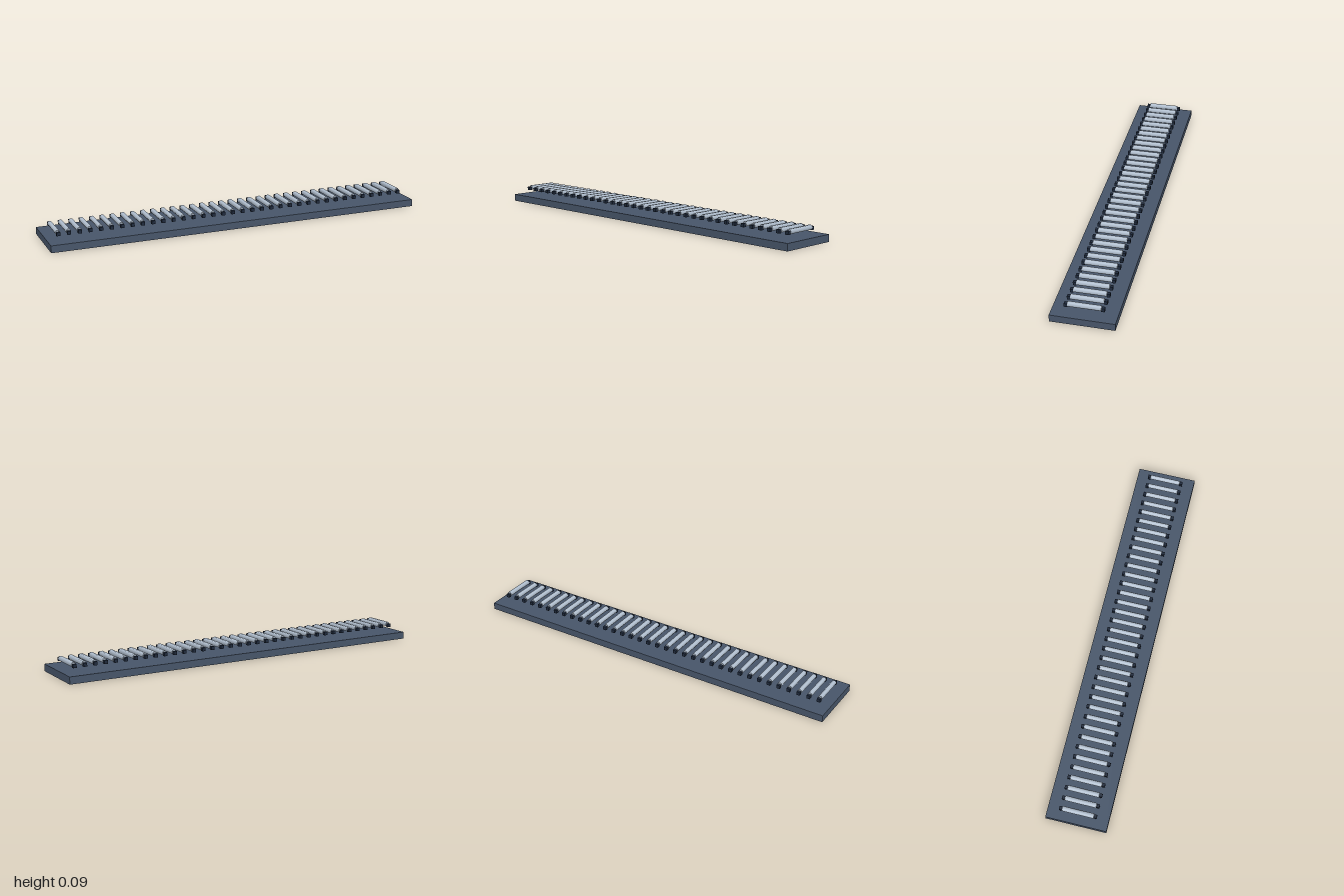
import * as THREE from 'three';

const COUNT = 36;      // rollers along the bed
const SPAN = 1.892;    // distance from first to last roller axis
const RADIUS = 0.013;
const AXIS_Y = 0.0743;

// Six-sided roller lying along z, with shallow pointed ends
function rollerGeometry() {
  const geo = new THREE.CylinderGeometry(RADIUS, RADIUS, 0.16, 6, 1, false, Math.PI / 6);
  const pos = geo.attributes.position;
  for (let i = 0; i < pos.count; i++) {
    if (Math.hypot(pos.getX(i), pos.getZ(i)) < 1e-5) {
      pos.setY(i, pos.getY(i) + Math.sign(pos.getY(i)) * 0.003);
    }
  }
  return geo.rotateX(Math.PI / 2);
}

export function createModel() {
  const slate = new THREE.MeshStandardMaterial({ name: 'slate', color: 0x475569 });
  const steel = new THREE.MeshStandardMaterial({ name: 'paleSteel', color: 0xb4c2d2 });
  const dark = new THREE.MeshStandardMaterial({ name: 'darkSlate', color: 0x1e293b });

  const model = new THREE.Group();
  model.name = 'rollerBed';

  const add = (name, geo, mat, x, y, z) => {
    const mesh = new THREE.Mesh(geo, mat);
    mesh.name = name;
    mesh.position.set(x, y, z);
    model.add(mesh);
  };

  // Base slab
  add('base', new THREE.BoxGeometry(2, 0.037, 0.312), slate, 0, 0.0185, 0);

  // Row of rollers with an end block at each side
  const roller = rollerGeometry();
  const block = new THREE.BoxGeometry(0.018, 0.018, 0.016);
  for (let i = 0; i < COUNT; i++) {
    const x = -SPAN / 2 + (SPAN * i) / (COUNT - 1);
    add('roller', roller, steel, x, AXIS_Y, 0);
    for (const side of [-1, 1]) add('endBlock', block, dark, x, 0.0697, side * 0.088);
  }
  return model;
}
